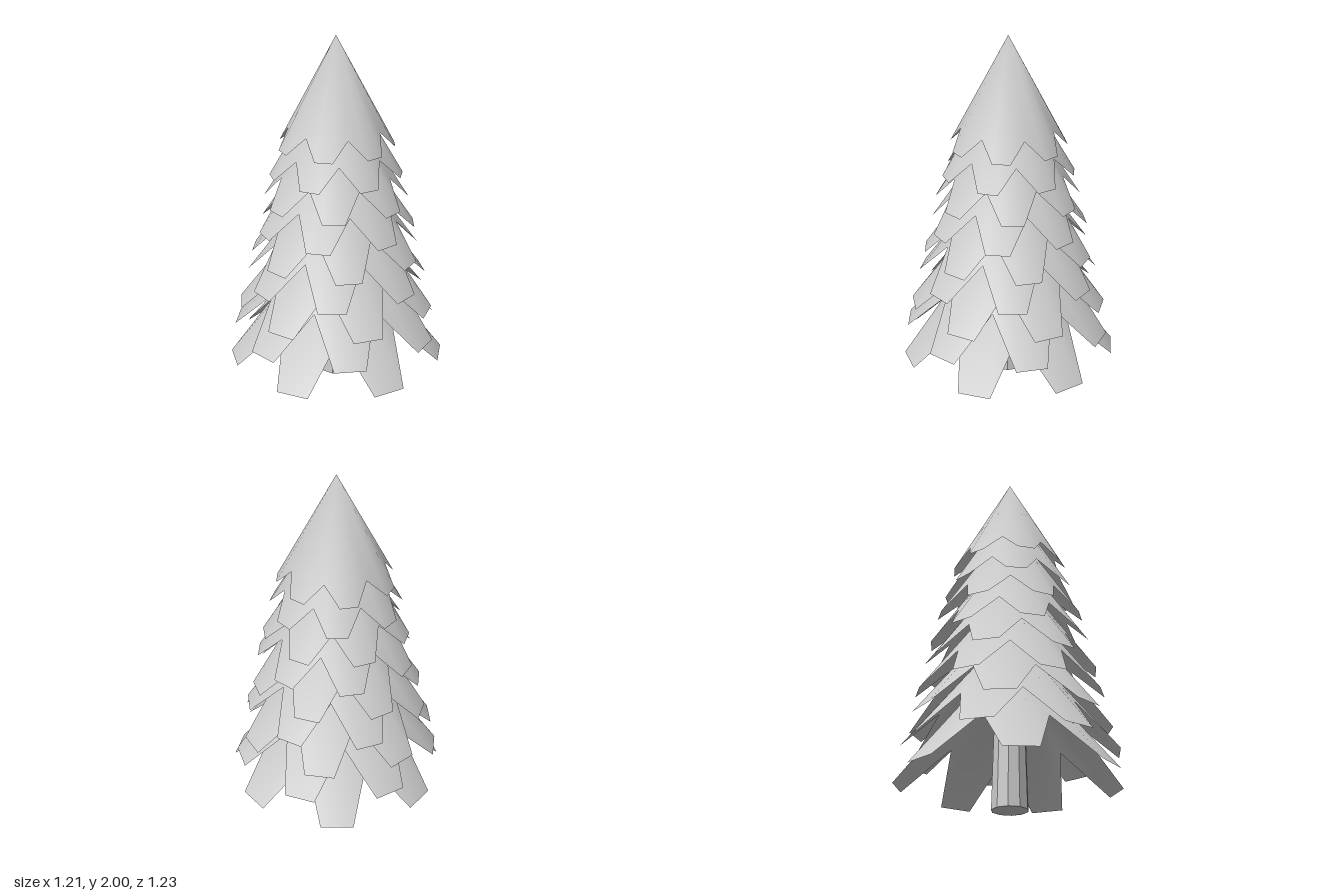
import * as THREE from 'three';

const PETALS = 7, SEGMENTS = PETALS * 3;
// Rim radius of each tier, top to bottom
const RADIUS = [0.325, 0.368, 0.407, 0.443, 0.478, 0.514, 0.556, 0.59, 0.617];

// Open cone whose rim has flat-ended petals: every third rim point is a raised notch
function tierGeometry(radius, height, rise, turn) {
  const pos = [0, height, 0], index = [];
  for (let i = 0; i < SEGMENTS; i++) {
    const a = THREE.MathUtils.degToRad(turn + (i * 360) / SEGMENTS);
    const notch = i % 3 === 0;
    const r = notch ? radius * (1 - rise / height) * 0.955 : radius;
    pos.push(Math.cos(a) * r, notch ? rise : 0, Math.sin(a) * r);
    index.push(0, 1 + ((i + 1) % SEGMENTS), 1 + i);
  }
  const geo = new THREE.BufferGeometry();
  geo.setAttribute('position', new THREE.Float32BufferAttribute(pos, 3));
  geo.setIndex(index);
  geo.computeVertexNormals();
  return geo;
}

export function createModel() {
  const tree = new THREE.Group();
  tree.name = 'pineTree';
  const needles = new THREE.MeshStandardMaterial({ color: 0xcccccc, side: THREE.DoubleSide });
  const bark = new THREE.MeshStandardMaterial({ color: 0xcccccc, flatShading: true });

  // Overlapping tiers of branches, growing wider and twisting downwards
  RADIUS.forEach((radius, i) => {
    const t = i / (RADIUS.length - 1);
    const height = THREE.MathUtils.lerp(0.604, 0.76, t);
    const rise = THREE.MathUtils.lerp(0.1, 0.255, t);
    const turn = 12 + 20.7 * i - (i % 2) * 9.9;
    const tier = new THREE.Mesh(tierGeometry(radius, height, rise, turn), needles);
    tier.name = `branchTier${i + 1}`;
    tier.position.set(-0.01, 1.396 - 0.156 * i, 0);
    tree.add(tier);
  });

  // Faceted trunk, slightly tapered, reaching up inside the branches
  const trunk = new THREE.Mesh(new THREE.CylinderGeometry(0.08, 0.1, 0.7, 10), bark);
  trunk.name = 'trunk';
  trunk.position.set(-0.01, 0.35, 0);
  tree.add(trunk);

  return tree;
}
